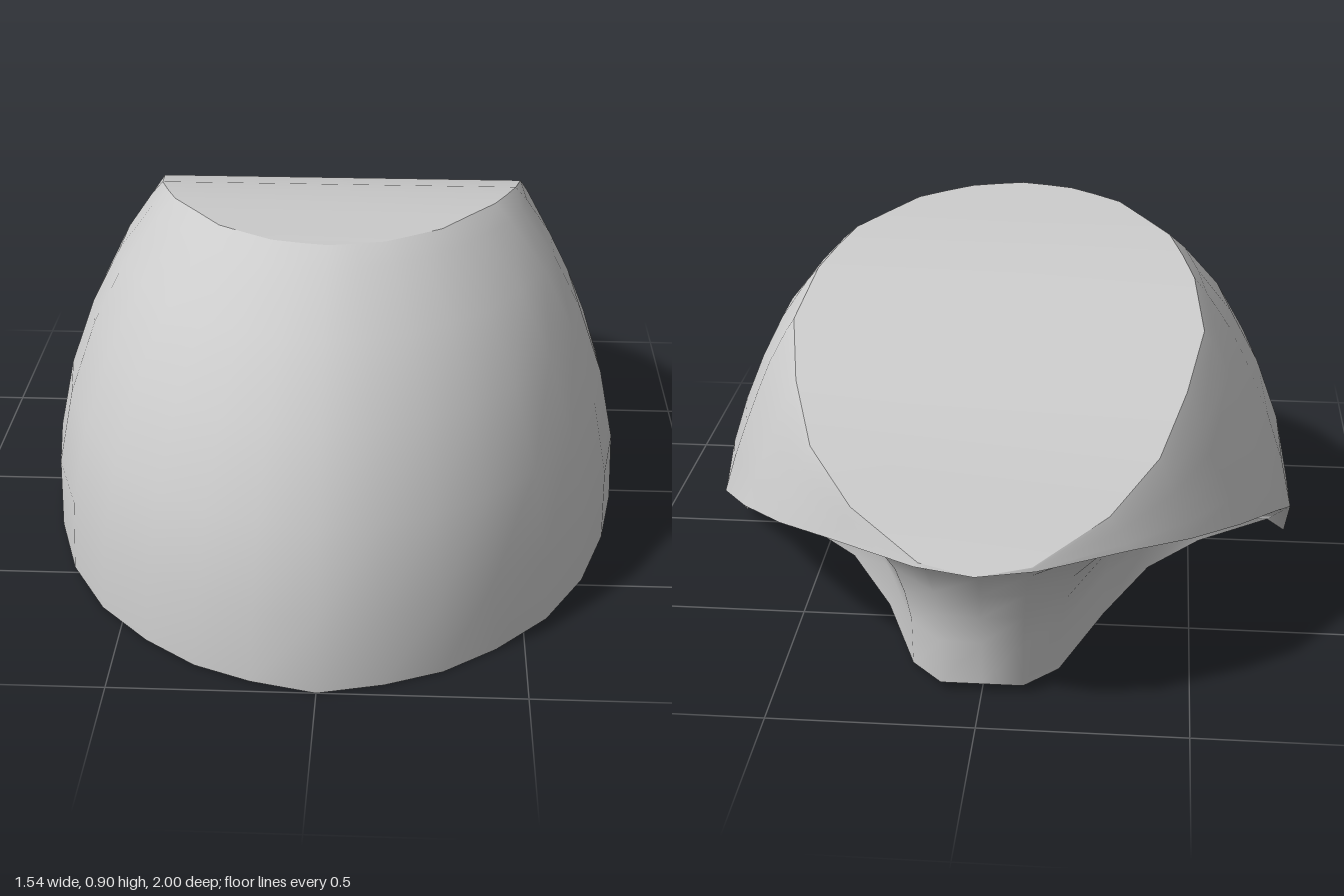
import * as THREE from 'three';
import { mergeVertices } from 'three/addons/utils/BufferGeometryUtils.js';

const V = (p) => new THREE.Vector3(...p);
const mirror = (p) => new THREE.Vector3(-p.x, p.y, p.z);

// Lower edge of the shell, front to back along the left side
const rim = [
  [0, 0, 1], [0.16, 0, 0.96], [0.3, 0, 0.9], [0.43, 0, 0.8], [0.56, 0, 0.66],
  [0.66, 0.01, 0.49], [0.73, 0.01, 0.27], [0.77, 0.01, 0.05], [0.765, 0.2, -0.18],
  [0.71, 0.3, -0.41], [0.61, 0.365, -0.62], [0.49, 0.4, -0.77], [0.35, 0.415, -0.87],
  [0.14, 0.41, -0.98], [0, 0.4, -1],
].map(V);

// Upper edge of the shell, where the sloping top begins
const crown = [
  [0, 0.902, 0.42], [0.07, 0.901, 0.405], [0.14, 0.9, 0.385], [0.21, 0.898, 0.335],
  [0.28, 0.895, 0.28], [0.35, 0.887, 0.165], [0.42, 0.878, 0.05], [0.455, 0.86, -0.065],
  [0.485, 0.84, -0.18], [0.51, 0.78, -0.4], [0.47, 0.7, -0.6], [0.41, 0.6, -0.76],
  [0.3, 0.5, -0.87], [0.13, 0.418, -0.975], [0, 0.4, -1],
].map(V);

// Lower edge of the neck, from the side corner to the middle of the back
const neckFoot = [
  [0.77, 0.01, 0.05], [0.7, 0.2, -0.26], [0.52, 0.16, -0.32], [0.39, 0.085, -0.34],
  [0.28, 0.01, -0.46], [0.18, 0.01, -0.74], [0.1, 0.02, -0.84], [0, 0.02, -0.84],
].map(V);

// Half a row plus its mirror image
const bothSides = (half) => [...half, ...half.slice(0, -1).reverse().map(mirror)];

// Smooth surface through rows of equal length
function loft(name, rows, material) {
  const n = rows[0].length;
  const index = [];
  for (let r = 0; r < rows.length - 1; r++) {
    for (let i = 0; i < n - 1; i++) {
      const a = r * n + i, b = a + 1, c = a + n, d = b + n;
      index.push(a, b, d, a, d, c);
    }
  }
  let geometry = new THREE.BufferGeometry().setFromPoints(rows.flat());
  geometry.setIndex(index);
  geometry = mergeVertices(geometry, 1e-4);
  geometry.computeVertexNormals();
  const mesh = new THREE.Mesh(geometry, material);
  mesh.name = name;
  return mesh;
}

export function createModel() {
  const group = new THREE.Group();
  group.name = 'domedShell';
  const material = new THREE.MeshStandardMaterial({ color: 0xcccccc, side: THREE.DoubleSide });

  // Domed side wall: rows swing from rim to crown on an arc around the origin,
  // drawn in a little at the flanks
  const shellRows = [0, 0.19, 0.37, 0.55, 0.73, 0.92, 1].map((t) => bothSides(rim.map((p, i) => {
    const top = crown[i];
    const q = p.clone().lerp(top, t).setLength(THREE.MathUtils.lerp(p.length(), top.length(), t));
    q.x *= 1 - 0.045 * p.distanceTo(top) * Math.max(0, Math.sin(1.2 * Math.PI * t));
    return q;
  })));
  group.add(loft('shellWall', shellRows, material));

  // Top face, curved only from front to back
  group.add(loft('slopingTop', [crown, crown.map(mirror)], material));

  // Neck: rises steeply, then flares out to the back edge of the shell
  const flare = [[0, 0], [0.3, 0.01], [0.5, 0.09], [0.68, 0.21], [0.85, 0.42], [0.95, 0.68], [1, 1]];
  const neckRows = flare.map(([rise, spread]) => bothSides(neckFoot.map((p, i) => {
    const edge = rim[i + 7];
    const q = p.clone().lerp(edge, spread);
    q.y = THREE.MathUtils.lerp(p.y, edge.y, rise);
    return q;
  })));
  group.add(loft('flaredNeck', neckRows, material));

  return group;
}
